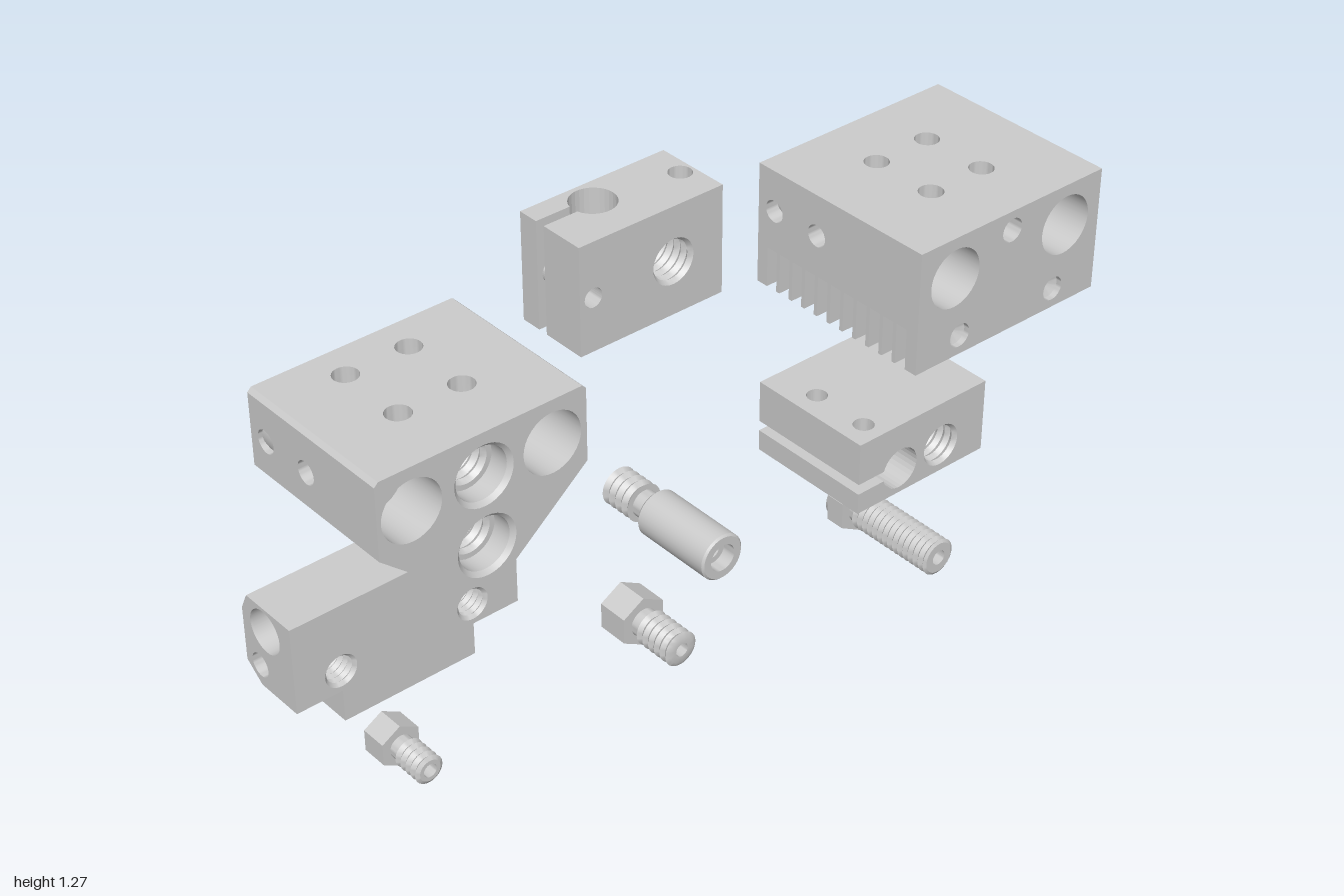
import * as THREE from 'three';
import { mergeGeometries, toCreasedNormals } from 'three/addons/utils/BufferGeometryUtils.js';

const V = (x, y, z) => new THREE.Vector3(x, y, z);
const material = new THREE.MeshStandardMaterial({ color: 0xcccccc, side: THREE.DoubleSide });

// Turned surface from [radius, height] points, sharp at its corners
const lathe = (pts) => toCreasedNormals(
  new THREE.LatheGeometry(pts.map(([r, h]) => new THREE.Vector2(r, h)), 32), 0.5);

// Hole profiles as [radius, depth]
const blind = (r, d) => [[r, 0], [r, d], [0.0001, d + r * 0.5]];
const open = (r, d) => [[r, 0], [r, d]];
const zigzag = (r, cut, a, b, n) => {
  const pts = [];
  for (let i = 0; i <= 2 * n; i++) pts.push([i % 2 ? r - cut : r, a + (b - a) * i / (2 * n)]);
  return pts;
};
const tapped = (r, d, n) => [...zigzag(r, 0.008, 0, d, n), [0.0001, d]];
const thru = (p, q, profile) => [[...p, profile], [...q, open(profile[0][0], 0.005)]];
const counterbored = (len) => [[0.075, 0], [0.075, len * 0.3], [0.037, len * 0.3],
  [0.037, len * 0.7], [0.075, len * 0.7], [0.075, len]];

// One flat face with round openings and the walls of the holes behind it
function drilledFace(out, origin, u, v, outline, holes) {
  const n = u.clone().cross(v);
  const shape = new THREE.Shape(outline.map(([a, b]) => new THREE.Vector2(a, b)));
  for (const [x, y, z, profile] of holes) {
    const at = V(x, y, z), d = at.clone().sub(origin);
    shape.holes.push(new THREE.Path().absarc(d.dot(u), d.dot(v), profile[0][0], 0, Math.PI * 2));
    const wall = lathe(profile.map(([r, h]) => [r, -h]));
    out.push(wall.applyMatrix4(new THREE.Matrix4().makeBasis(u, n, v.clone().negate()).setPosition(at)));
  }
  const face = new THREE.ShapeGeometry(shape, 16).toNonIndexed();
  out.push(face.applyMatrix4(new THREE.Matrix4().makeBasis(u, v, n).setPosition(origin)));
}

// Prism along local z from a counter-clockwise outline; each hole [x, y, z, profile] goes to the face it lies on
function prism(name, outline, z0, z1, holes = []) {
  const out = [], sides = outline.map(() => []), front = [], back = [];
  for (const h of holes) {
    if (h[2] === z1) { front.push(h); continue; }
    if (h[2] === z0) { back.push(h); continue; }
    let best = 0, bestD = Infinity;
    outline.forEach((p, i) => {
      const q = outline[(i + 1) % outline.length];
      const d = new THREE.Line3(V(...p, 0), V(...q, 0))
        .closestPointToPoint(V(h[0], h[1], 0), true, V()).distanceTo(V(h[0], h[1], 0));
      if (d < bestD) { bestD = d; best = i; }
    });
    sides[best].push(h);
  }
  drilledFace(out, V(0, 0, z1), V(1, 0, 0), V(0, 1, 0), outline, front);
  drilledFace(out, V(0, 0, z0), V(-1, 0, 0), V(0, 1, 0), outline.map(([x, y]) => [-x, y]).reverse(), back);
  outline.forEach((p, i) => {
    const a = V(...p, z0), u = V(...outline[(i + 1) % outline.length], z0).sub(a), L = u.length(), w = z1 - z0;
    drilledFace(out, a, u.normalize(), V(0, 0, 1), [[0, 0], [L, 0], [L, w], [0, w]], sides[i]);
  });
  const mesh = new THREE.Mesh(mergeGeometries(out), material);
  mesh.name = name;
  return mesh;
}

// Block outline with a round bore opened to its left side by a slit
function keyhole(x0, x1, y0, y1, cx, cy, r, s, notch = []) {
  const pts = [[x0, y0], [x1, y0], ...notch, [x1, y1], [x0, y1], [x0, cy + s]];
  const a = Math.PI - Math.asin(s / r);
  for (let i = 0; i <= 28; i++) {
    const t = a - 2 * a * i / 28;
    pts.push([cx + r * Math.cos(t), cy + r * Math.sin(t)]);
  }
  return [...pts, [x0, cy - s]];
}

// Turned part along z
function turned(name, x, y, pts) {
  const mesh = new THREE.Mesh(lathe(pts).rotateX(Math.PI / 2), material);
  mesh.position.set(x, y, 0);
  mesh.name = name;
  return mesh;
}

const hexagon = (x, y, r) => Array.from({ length: 6 }, (_, i) => {
  const t = Math.PI / 2 + i * Math.PI / 3;
  return [x + r * Math.cos(t), y + r * Math.sin(t)];
});

export function createModel() {
  const model = new THREE.Group();

  // Tapered cooling block
  const a0 = -0.21, a1 = 0.225, aHoles = [];
  for (const x of [-0.88, -0.525]) aHoles.push(...thru([x, 1.03, a1], [x, 1.03, a0], counterbored(a1 - a0)));
  for (const y of [1.03, 0.855]) {
    aHoles.push([-0.7, y, a1, [[0.075, 0], [0.065, 0.01], [0.065, 0.06], [0.052, 0.06],
      ...zigzag(0.052, 0.008, 0.06, 0.25, 8), [0.02, 0.25], [0.02, 0.3], [0.0001, 0.3]]]);
  }
  for (const x of [-0.785, -0.625]) for (const z of [-0.12, 0.06]) aHoles.push([x, 1.135, z, blind(0.03, 0.06)]);
  for (const x of [-0.965, -0.435]) for (const z of [-0.157, -0.016]) aHoles.push([x, 1.03, z, blind(0.028, 0.06)]);
  aHoles.push([-0.705, 0.77, -0.035, blind(0.05, 0.04)]);
  model.add(prism('taperedCoolingBlock', [[-0.765, 0.77], [-0.645, 0.77], [-0.435, 0.945], [-0.435, 1.125],
    [-0.445, 1.135], [-0.955, 1.135], [-0.965, 1.125], [-0.965, 0.945]], a0, a1, aHoles));

  // Finned cooling block: comb profile (local x = -z) run along x
  const comb = [[-0.315, 0.82]];
  for (let i = 0; i < 11; i++) {
    const s = -0.281 + i * 0.0426, e = s + 0.032;
    comb.push([s, 0.82], [s, 0.925], [e, 0.925], [e, 0.82]);
  }
  comb.push([0.21, 0.82], [0.21, 1.135], [-0.315, 1.135]);
  const bHoles = [[-0.315, 1.085, 0.715, blind(0.03, 0.08)]];
  for (const x of [0.54, 0.89]) bHoles.push(...thru([-0.315, 1.03, x], [0.21, 1.03, x], counterbored(0.525)));
  for (const x of [0.565, 0.865]) bHoles.push([-0.315, 0.87, x, blind(0.03, 0.015)]);
  for (const x of [0.635, 0.795]) for (const z of [-0.04, 0.135]) bHoles.push([-z, 1.135, x, blind(0.03, 0.06)]);
  for (const x of [0.43, 1.0]) for (const z of [-0.157, -0.016]) bHoles.push([-z, 1.03, x, blind(0.028, 0.06)]);
  const finned = prism('finnedCoolingBlock', comb, 0.43, 1.0, bHoles);
  finned.rotation.y = Math.PI / 2;
  model.add(finned);

  // Upright heater block: slit outline (local y = -z) run upward
  const heater = prism('uprightHeaterBlock', keyhole(-0.255, 0.145, 0.015, 0.212, -0.11, 0.145, 0.055, 0.013), 1.0, 1.273, [
    ...thru([0.005, 0.015, 1.135], [0.005, 0.212, 1.135], zigzag(0.057, 0.008, 0, 0.197, 9)),
    ...thru([-0.218, 0.015, 1.135], [-0.218, 0.212, 1.135], open(0.024, 0.197)),
    ...thru([0.11, 0.115, 1.273], [0.11, 0.115, 1.0], open(0.028, 0.273)),
  ]);
  heater.rotation.x = -Math.PI / 2;
  model.add(heater);

  // Mixing block: long upper bar and wider middle body
  const mixer = new THREE.Group();
  mixer.name = 'mixingBlock';
  mixer.rotation.y = Math.PI / 2;
  mixer.add(prism('mixingBar', [[0.08, 0.375], [0.21, 0.375], [0.262, 0.415], [0.262, 0.558], [0.24, 0.603], [0.08, 0.603]],
    -1.0, -0.4, [
      ...thru([0.178, 0.54, -0.4], [0.178, 0.54, -1.0], open(0.055, 0.6)),
      ...[-0.4, -1.0].map((x) => [0.21, 0.43, x, blind(0.03, 0.08)]),
      ...[-0.88, -0.525].map((x) => [0.08, 0.43, x, [[0.05, 0], ...tapped(0.042, 0.1, 6)]]),
    ]));
  mixer.add(prism('mixingBody', [[0.08, 0.29], [0.25, 0.29], [0.317, 0.375], [0.317, 0.45], [0.24, 0.603],
    [0.262, 0.558], [0.262, 0.415], [0.21, 0.375], [0.08, 0.375]], -0.88, -0.525, [
    ...thru([0.21, 0.33, -0.525], [0.21, 0.33, -0.88], open(0.03, 0.355)),
    [0.29, 0.504, -0.7, blind(0.037, 0.02)],
    [0.317, 0.4125, -0.7, tapped(0.036, 0.05, 4)],
    [0.284, 0.333, -0.7, blind(0.03, 0.03)],
  ]));
  model.add(mixer);

  // Flat heater block, with a notch in the rear part of its left side
  const flat = new THREE.Group();
  flat.name = 'flatHeaterBlock';
  const notch = [[0.857, 0.36], [0.79, 0.36], [0.79, 0.46], [0.857, 0.46]];
  const slit = (n) => keyhole(0.445, 0.857, 0.33, 0.527, 0.58, 0.4, 0.055, 0.014, n);
  const bore = (z0, z1, n) => thru([0.715, 0.405, z1], [0.715, 0.405, z0], zigzag(0.056, 0.008, 0, z1 - z0, n));
  const clamps = [-0.08, 0.08].flatMap((z) => thru([0.51, 0.527, z], [0.51, 0.33, z], open(0.026, 0.197)));
  flat.add(prism('flatHeaterFront', slit(), -0.14, 0.138, [...bore(-0.14, 0.138, 12), ...clamps]));
  flat.add(prism('flatHeaterRear', slit(notch), -0.21, -0.14, bore(-0.21, -0.14, 3)));
  model.add(flat);

  // Heat break tube
  model.add(turned('heatBreak', 0.005, 0.43, [[0.02, 0.12], [0.02, -0.21], ...zigzag(0.05, 0.01, -0.21, -0.12, 4),
    [0.035, -0.12], [0.035, -0.08], [0.05, -0.08], [0.06, -0.07], [0.06, 0.15], [0.055, 0.155],
    [0.035, 0.155], [0.035, 0.12], [0.02, 0.12]]));

  // Long nozzle
  model.add(prism('longNozzleHex', hexagon(0.715, 0.075, 0.073), -0.175, -0.122));
  model.add(turned('longNozzleTip', 0.715, 0.075, [[0.008, -0.2], [0.008, -0.21], [0.014, -0.21], [0.035, -0.187],
    [0.058, -0.187], [0.062, -0.175]]));
  model.add(turned('longNozzleThread', 0.715, 0.075, [[0.04, -0.122], [0.04, -0.1], ...zigzag(0.05, 0.01, -0.1, 0.15, 14),
    [0.042, 0.155], [0.02, 0.155], [0.02, -0.1]]));

  // Two hollow hex fittings
  for (const [name, x, r, rt, bore2, zHex, zEnd, n] of [
    ['largeFitting', 0.005, 0.07, 0.047, 0.032, -0.125, 0.015, 5],
    ['smallFitting', -0.7, 0.058, 0.038, 0.024, -0.14, -0.03, 4]]) {
    model.add(prism(name + 'Hex', hexagon(x, 0.075, r), -0.21, zHex, [[x, 0.075, -0.21, blind(bore2, 0.06)]]));
    model.add(turned(name + 'Thread', x, 0.075, [[rt * 0.8, zHex], [rt * 0.8, zHex + 0.03],
      ...zigzag(rt, 0.009, zHex + 0.03, zEnd - 0.006, n), [rt * 0.75, zEnd], [0.018, zEnd], [0.018, zHex + 0.01], [0.0001, zHex + 0.01]]));
  }
  return model;
}
